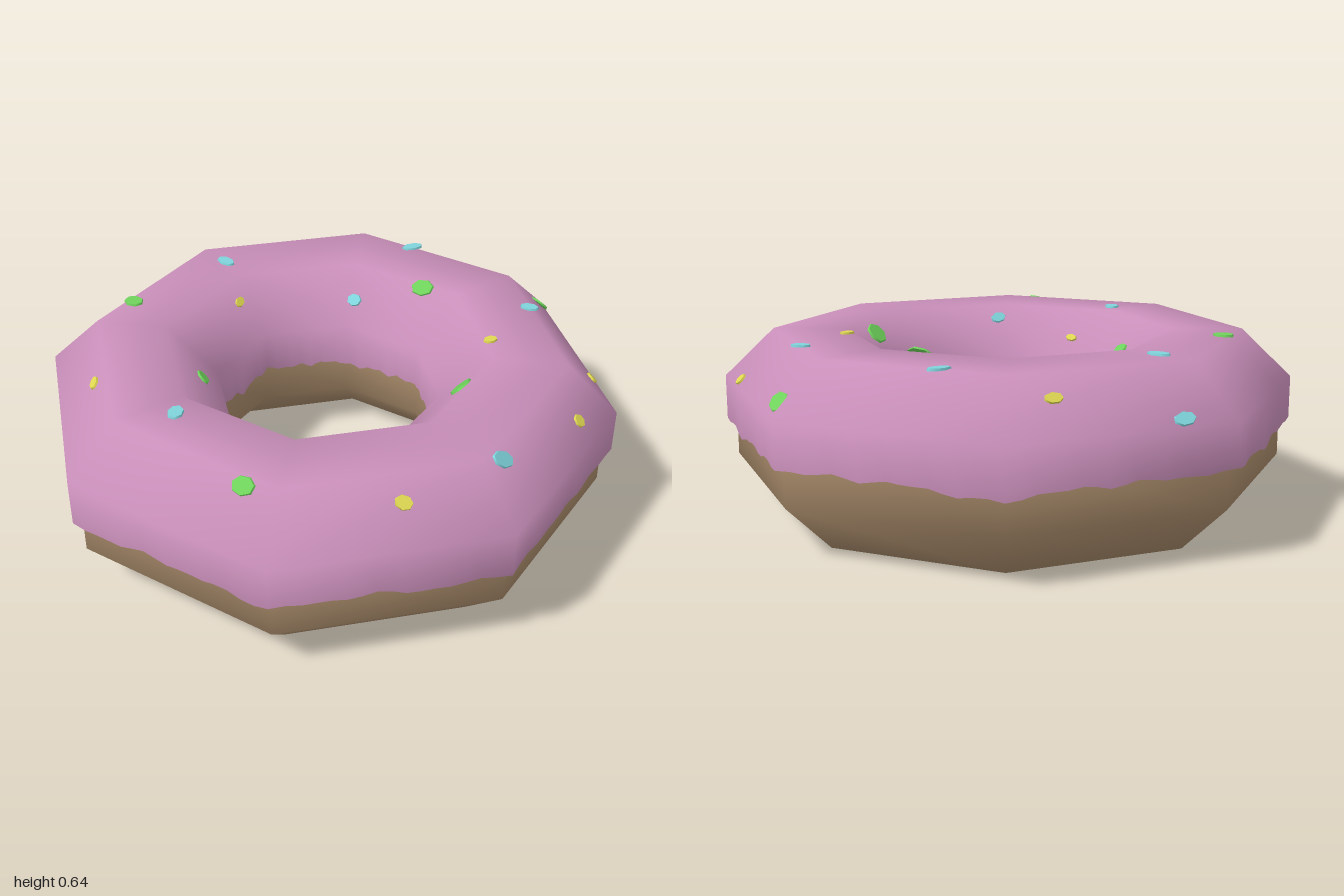
import * as THREE from 'three';

const SIDES = 8, STEP = Math.PI * 2 / SIDES, HALF = STEP / 2;

// Angle from the middle of the nearest ring face, and that face's direction
function faceAt(angle) {
  const mid = (Math.floor(angle / STEP) + 0.5) * STEP;
  return { mid, off: angle - mid };
}
// Ratio between the octagon's edge and its corner radius at an angle
const octagon = (angle) => Math.cos(HALF) / Math.cos(faceAt(angle).off);

const ICING = [[0.396, 0.45], [0.573, 0.62], [0.823, 0.62], [1, 0.45]];

// Wavy lower rim of the icing
const wave = (a) => 0.299 + 0.005 * Math.sin(a * 23) + 0.005 * Math.sin(a * 37 + 1)
  - 0.018 * Math.pow(Math.max(0, Math.sin(a * 5 - 1.2)), 6);

// Finely divided lathe whose rings are snapped to an octagon; rim points follow the wave
function octagonLathe(points, isRim) {
  const n = 128;
  const geo = new THREE.LatheGeometry(points.map((p) => new THREE.Vector2(...p)), n);
  const pos = geo.attributes.position;
  for (let s = 0, v = 0; s <= n; s++) {
    const a = s / n * Math.PI * 2, k = octagon(a + 1e-7);
    for (let j = 0; j < points.length; j++, v++) {
      const y = isRim(j) ? wave(a % (Math.PI * 2)) : pos.getY(v);
      pos.setXYZ(v, Math.sin(a) * points[j][0] * k, y, Math.cos(a) * points[j][0] * k);
    }
  }
  return geo;
}

// Height and slope direction of the icing at a corner radius
function icingAt(r) {
  let i = r < ICING[1][0] ? 0 : r < ICING[2][0] ? 1 : 2;
  const [r0, y0] = ICING[i], [r1, y1] = ICING[i + 1];
  const t = Math.min(1, Math.max(0, (r - r0) / (r1 - r0)));
  return { y: y0 + (y1 - y0) * t, dr: (r1 - r0) * Math.cos(HALF), dy: y1 - y0 };
}

// Sprinkles: x, z, length, width, turn in degrees
const SPRINKLES = {
  blue: [[-0.535, -0.755, 0.08, 0.05, -35], [0.2, -0.74, 0.085, 0.045, -30], [-0.48, -0.5, 0.085, 0.05, 35],
    [0.02, -0.465, 0.06, 0.05, 20], [0.67, -0.36, 0.07, 0.045, 10], [-0.4, 0.5, 0.075, 0.055, 90],
    [0.04, 0.51, 0.065, 0.045, -50], [0.64, 0.52, 0.09, 0.06, -20]],
  yellow: [[-0.14, -0.835, 0.065, 0.04, -25], [-0.385, -0.31, 0.05, 0.035, 90], [0.55, -0.115, 0.055, 0.04, -40],
    [0.91, -0.17, 0.05, 0.045, 60], [0.87, 0.16, 0.05, 0.045, 20], [-0.73, 0.325, 0.06, 0.04, 80],
    [-0.24, 0.37, 0.045, 0.03, 35], [0.365, 0.74, 0.06, 0.05, 10]],
  green: [[0.275, -0.45, 0.09, 0.065, 5], [0.7, -0.62, 0.09, 0.075, 80], [-0.735, -0.15, 0.075, 0.065, 30],
    [0.475, 0.13, 0.1, 0.085, 80], [-0.41, 0.14, 0.065, 0.05, 40], [-0.11, 0.8, 0.085, 0.065, 10]],
};

export function createModel() {
  const mat = (name, color) => {
    const m = new THREE.MeshStandardMaterial({ color });
    m.name = name;
    return m;
  };
  const colours = {
    dough: mat('dough brown', 0xab8d6c), icing: mat('icing pink', 0xc98fba),
    blue: mat('sprinkle blue', 0x7fd4dc), yellow: mat('sprinkle yellow', 0xdfd852),
    green: mat('sprinkle green', 0x6fd35c),
  };
  const group = new THREE.Group();
  group.name = 'doughnut';
  const add = (name, geo, material, parent = group) => {
    const mesh = new THREE.Mesh(geo, material);
    mesh.name = name;
    parent.add(mesh);
    return mesh;
  };

  // Dough ring, its profile running counter-clockwise from the middle of the base
  const dough = [[0.685, 0], [0.794, 0], [0.965, 0.166], [0.965, 0.403], [0.794, 0.57],
    [0.575, 0.57], [0.405, 0.403], [0.405, 0.166], [0.575, 0], [0.685, 0]];
  add('dough', new THREE.LatheGeometry(dough.map((p) => new THREE.Vector2(...p)), SIDES), colours.dough);

  // Icing shell over the upper half
  const shell = [[1, 0.3], ...[...ICING].reverse(), [0.396, 0.3]];
  add('icing', octagonLathe(shell, (j) => j === 0 || j === shell.length - 1), colours.icing);

  // Narrow undersides closing the icing against the dough
  add('icingOuterRim', octagonLathe([[0.96, 0.3], [1, 0.3]], () => true), colours.icing);
  add('icingInnerRim', octagonLathe([[0.396, 0.3], [0.41, 0.3]], () => true), colours.icing);

  // Sprinkles lying flat on the icing
  const sprinkles = new THREE.Group();
  sprinkles.name = 'sprinkles';
  group.add(sprinkles);
  const chip = new THREE.CylinderGeometry(0.46, 0.5, 0.008, 7);
  for (const [colour, list] of Object.entries(SPRINKLES)) {
    for (const [x, z, length, width, turn] of list) {
      const angle = Math.atan2(x, z), face = faceAt(angle);
      const r = Math.hypot(x, z) / octagon(angle);
      const { y, dr, dy } = icingAt(r);
      // lean towards the corner where a sprinkle straddles an outer edge
      const dir = r > 0.7 && Math.abs(face.off) > 0.3 ? face.mid + Math.sign(face.off) * HALF : face.mid;
      const up = new THREE.Vector3(-dy * Math.sin(dir), dr, -dy * Math.cos(dir)).normalize();
      const a = THREE.MathUtils.degToRad(turn);
      const along = new THREE.Vector3(Math.cos(a), 0, Math.sin(a));
      along.addScaledVector(up, -along.dot(up)).normalize();
      const across = new THREE.Vector3().crossVectors(along, up);
      const mesh = add(colour + 'Sprinkle', chip, colours[colour], sprinkles);
      mesh.quaternion.setFromRotationMatrix(new THREE.Matrix4().makeBasis(along, up, across));
      mesh.position.set(x, y, z).addScaledVector(up, 0.003);
      mesh.scale.set(length, 1, width);
    }
  }
  return group;
}
